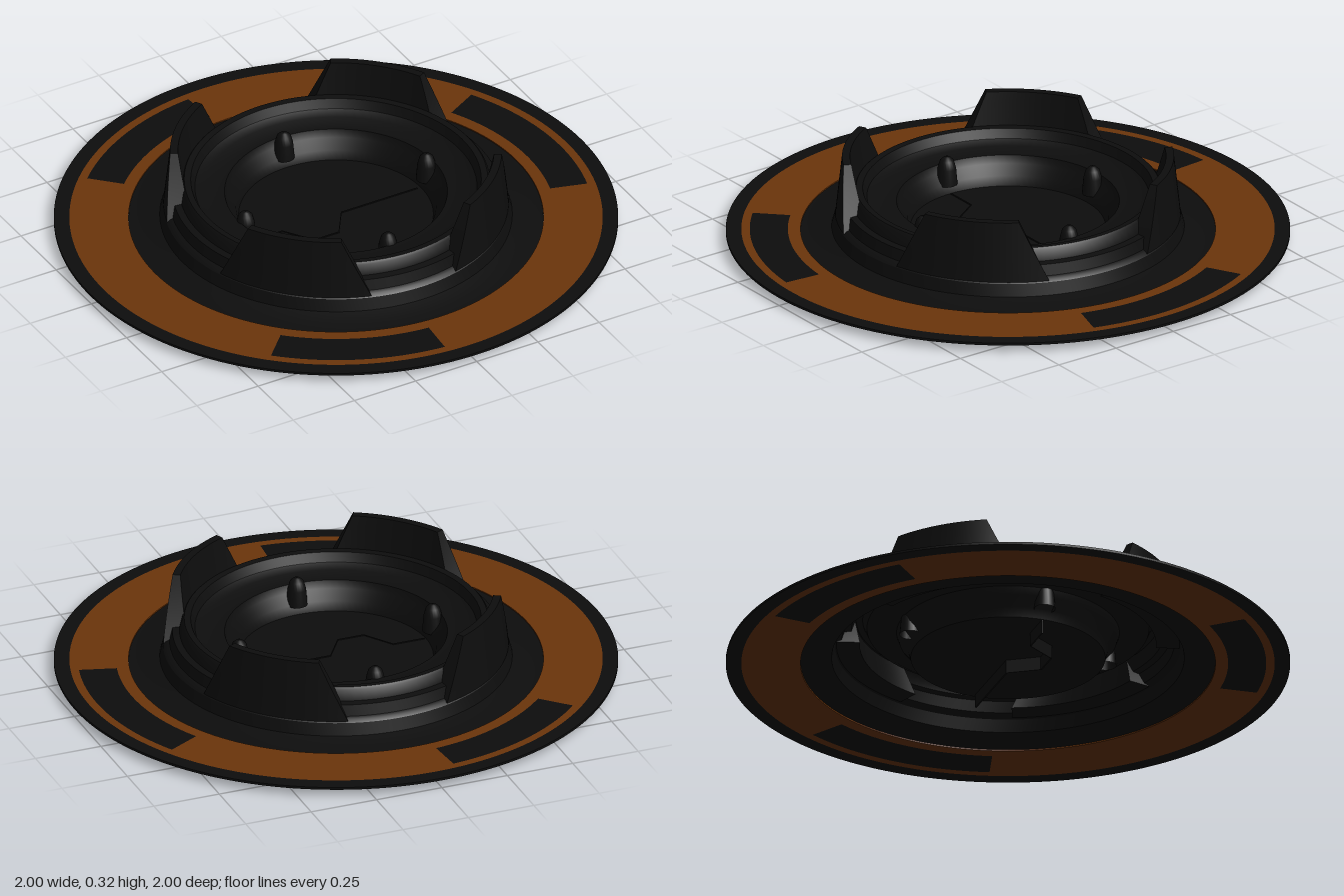
import * as THREE from 'three';
import { toCreasedNormals } from 'three/addons/utils/BufferGeometryUtils.js';

const black = new THREE.MeshStandardMaterial({ color: 0x0d0d0d, side: THREE.DoubleSide });
const orange = new THREE.MeshStandardMaterial({ color: 0x6c350b, side: THREE.DoubleSide });
const rad = THREE.MathUtils.degToRad;
const lerp = THREE.MathUtils.lerp;

// Flat slab lying in the xz plane, between heights y0 and y1
function slab(shape, y0 = 0.029, y1 = 0.038) {
  const g = new THREE.ExtrudeGeometry(shape, { depth: y1 - y0, bevelEnabled: false, curveSegments: 96 });
  return g.rotateX(Math.PI / 2).translate(0, y1, 0);
}

function ringShape(inner, outer) {
  const s = new THREE.Shape().absarc(0, 0, outer, 0, Math.PI * 2);
  s.holes.push(new THREE.Path().absarc(0, 0, inner, 0, Math.PI * 2, true));
  return s;
}

function arcShape(inner, outer, from, to) {
  const s = new THREE.Shape();
  s.absarc(0, 0, outer, rad(from), rad(to), false);
  s.absarc(0, 0, inner, rad(to), rad(from), true);
  s.closePath();
  return s;
}

// Upright curved tab: a box bent round the axis, narrowing towards its top
function tabGeometry() {
  const g = new THREE.BoxGeometry(2, 1, 1, 20, 6, 1);
  const p = g.attributes.position;
  for (let i = 0; i < p.count; i++) {
    const v = p.getY(i) + 0.5;
    const inner = lerp(0.525, 0.56, v), outer = lerp(0.612, 0.588, v);
    const r = lerp(inner, outer, p.getZ(i) + 0.5);
    const a = p.getX(i) * rad(lerp(27, 17, v));
    p.setXYZ(i, r * Math.sin(a), lerp(0.1, 0.32, v), r * Math.cos(a));
  }
  return toCreasedNormals(g.toNonIndexed(), 0.5);
}

export function createModel() {
  const model = new THREE.Group();
  const add = (name, geometry, material = black) => {
    const mesh = new THREE.Mesh(geometry, material);
    mesh.name = name;
    model.add(mesh);
    return mesh;
  };

  // Thin brim: black edge and an orange band with three dark inlays let into it
  add('brimEdge', slab(ringShape(0.945, 1)));
  const band = ringShape(0.735, 0.945);
  [[-28.5, 16.5], [95, 134.5], [-134.5, -95]].forEach(([from, to], i) => {
    const inlay = arcShape(0.78, 0.915, from, to);
    band.holes.push(inlay);
    add('brimInlay' + (i + 1), slab(inlay));
  });
  add('brimBand', slab(band), orange);

  // Stepped hollow body, from the brim up over the rim and down to the floor
  const profile = [
    [0.735, 0.034], [0.68, 0.038], [0.625, 0.05], [0.613, 0.095], [0.603, 0.105],
    [0.59, 0.11], [0.58, 0.15], [0.555, 0.153], [0.545, 0.192], [0.538, 0.2],
    [0.515, 0.198], [0.5, 0.165], [0.47, 0.15], [0.395, 0.148], [0.385, 0.12],
    [0.355, 0.085], [0.345, 0.05], [0, 0.05],
  ].map(([r, y]) => new THREE.Vector2(r, y));
  add('body', toCreasedNormals(new THREE.LatheGeometry(profile, 96).toNonIndexed(), 0.5));

  // Four tabs near the diagonals, the first turned a little to the front
  const tab = tabGeometry();
  [41, 135, 225, 315].forEach((angle, i) => {
    add('tab' + (i + 1), tab).rotation.y = rad(angle);
  });

  // Four rounded pegs on the axes
  const peg = new THREE.LatheGeometry([
    [0.038, 0], [0.033, 0.06], [0.025, 0.09], [0.012, 0.102], [0, 0.104],
  ].map(([r, y]) => new THREE.Vector2(r, y)), 20);
  for (let i = 0; i < 4; i++) {
    const a = i * Math.PI / 2;
    add('peg' + (i + 1), peg).position.set(0.37 * Math.sin(a), 0.08, 0.37 * Math.cos(a));
  }

  // Narrow zigzag rib under the floor
  const path = [[-0.34, 0], [-0.22, 0], [-0.15, 0.105], [-0.05, 0.105], [0.02, 0], [0.33, 0]];
  const outline = [...path, ...path.map(([x, z]) => [x, z + 0.005]).reverse()];
  const rib = new THREE.Shape(outline.map(([x, z]) => new THREE.Vector2(x, z)));
  add('floorRib', slab(rib, 0, 0.053));

  return model;
}
